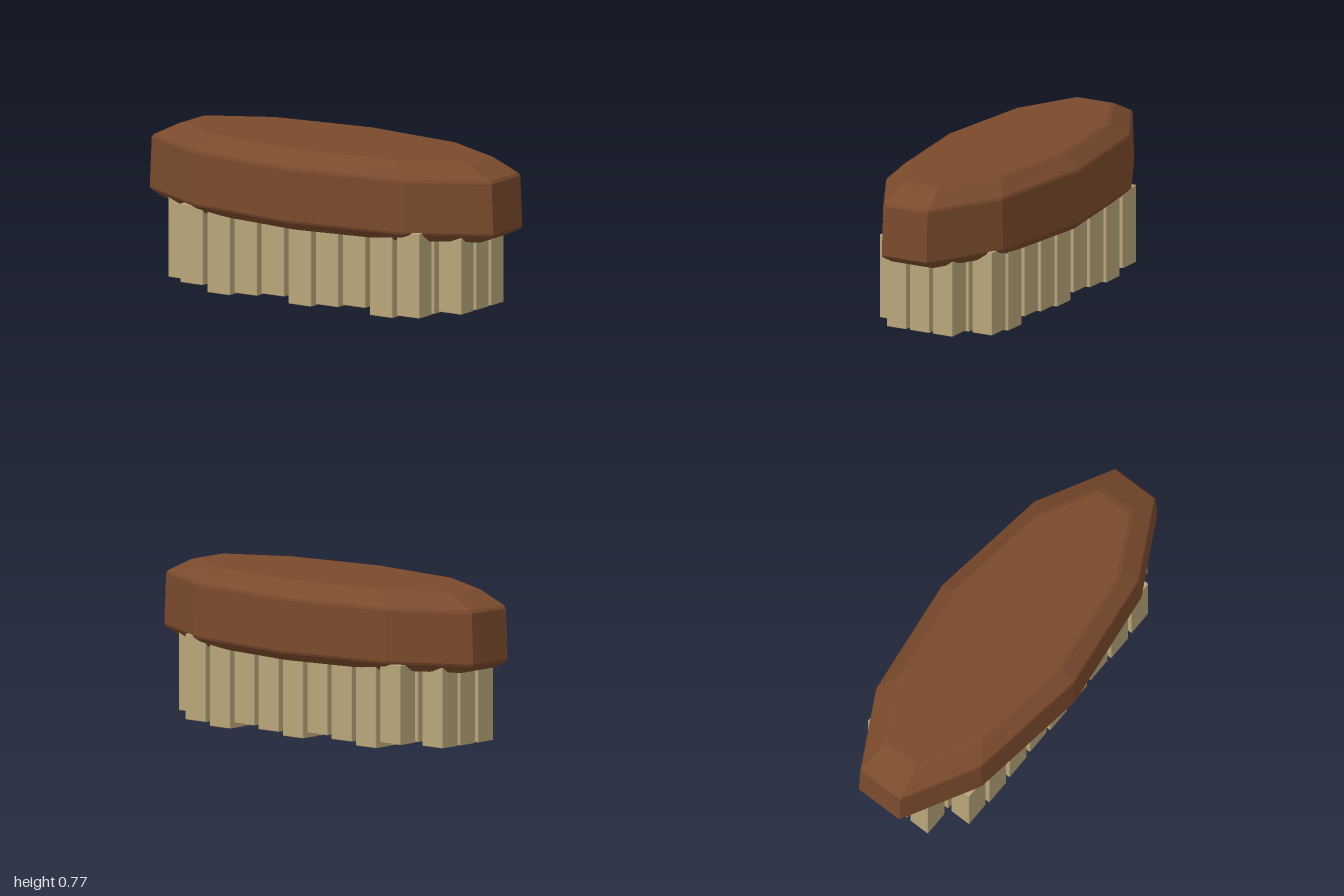
import * as THREE from 'three';
import { RoundedBoxGeometry } from 'three/addons/geometries/RoundedBoxGeometry.js';

// Ten-sided brush outline, counter-clockwise from above; t insets it evenly.
function outline(t) {
  const endX = 1 - 0.18 * t, endZ = 0.125 - 0.03 * t;
  const midX = 0.62 - 0.1 * t, midZ = 0.33 - 0.08 * t;
  const sideZ = 0.412 - 0.1 * t;
  return [
    [endX, endZ], [endX, -endZ], [midX, -midZ], [0, -sideZ], [-midX, -midZ],
    [-endX, -endZ], [-endX, endZ], [-midX, midZ], [0, sideZ], [midX, midZ],
  ];
}

// Loft the outline through [height, inset] rings and cap both ends.
function blockGeometry(rings) {
  const pos = [], idx = [], n = 10;
  for (const [y, t] of rings) for (const [x, z] of outline(t)) pos.push(x, y, z);
  for (let r = 0; r < rings.length - 1; r++) {
    for (let i = 0; i < n; i++) {
      const a = r * n + i, b = r * n + (i + 1) % n;
      idx.push(a, b, b + n, a, b + n, a + n);
    }
  }
  const top = (rings.length - 1) * n;
  for (let i = 1; i < n - 1; i++) {
    idx.push(0, i + 1, i);
    idx.push(top, top + i, top + i + 1);
  }
  const indexed = new THREE.BufferGeometry();
  indexed.setAttribute('position', new THREE.Float32BufferAttribute(pos, 3));
  indexed.setIndex(idx);
  const geometry = indexed.toNonIndexed();
  geometry.computeVertexNormals();
  return geometry;
}

export function createModel() {
  const model = new THREE.Group();
  model.name = 'scrubBrush';
  const wood = new THREE.MeshStandardMaterial({ color: 0x7a4a2c });
  wood.name = 'brown wood';
  const straw = new THREE.MeshStandardMaterial({ color: 0xb8a67a });
  straw.name = 'straw bristle';

  // Wooden block with chamfered rims
  const block = new THREE.Mesh(blockGeometry([
    [0.385, 0.5], [0.389, 0.42], [0.424, 0.05], [0.436, 0],
    [0.682, 0.06], [0.696, 0.11], [0.762, 0.84], [0.77, 1],
  ]), wood);
  block.name = 'woodenBlock';
  model.add(block);

  // Bristle tufts: 11 columns of 5, without the four corners
  const bristles = new THREE.Group();
  bristles.name = 'bristles';
  const bottoms = [0.018, 0.033, 0.002];
  const tufts = bottoms.map((b) => new RoundedBoxGeometry(0.132, 0.455 - 2 * b, 0.11, 1, 0.004));
  for (let i = 0; i < 11; i++) {
    for (let j = -2; j <= 2; j++) {
      if ((i === 0 || i === 10) && Math.abs(j) === 2) continue;
      const tuft = new THREE.Mesh(tufts[i % 3], straw);
      tuft.name = 'bristleTuft';
      tuft.position.set((i - 5) * 0.1575, 0.2275, j * 0.129);
      bristles.add(tuft);
    }
  }
  model.add(bristles);
  return model;
}
